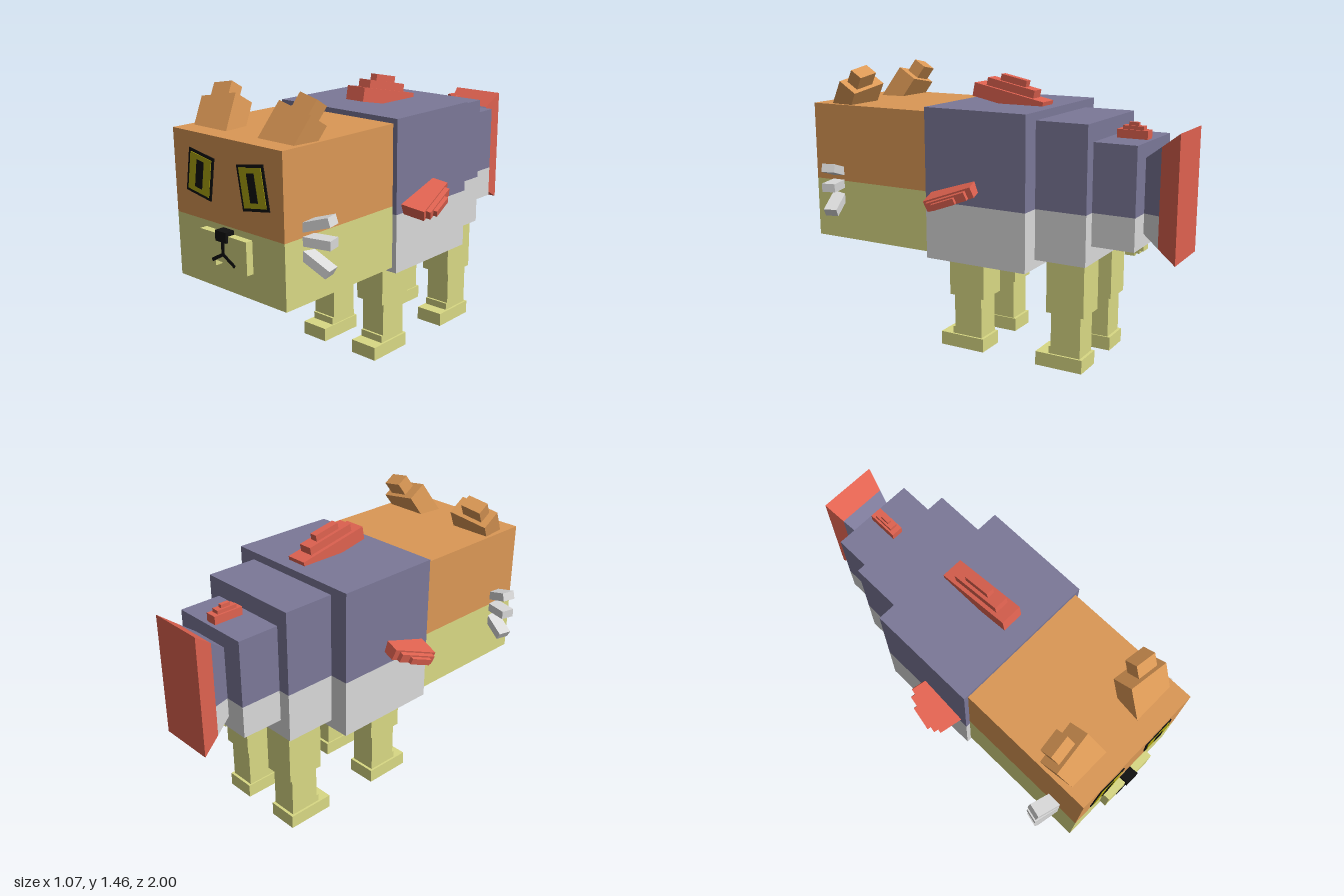
import * as THREE from 'three';

const mat = (name, color) => {
  const m = new THREE.MeshStandardMaterial({ color });
  m.name = name;
  return m;
};

export function createModel() {
  const root = new THREE.Group();
  root.name = 'catFish';
  const orange = mat('orange fur', 0xdb9855);
  const pale = mat('pale yellow', 0xd9d984);
  const purple = mat('slate purple', 0x7b7898);
  const gray = mat('light gray', 0xd9d9d9);
  const red = mat('fin red', 0xdf6250);
  const gold = mat('eye gold', 0xaea60f);
  const black = mat('black', 0x101010);

  // Box given by its min and max on each axis
  const box = (name, material, x0, x1, y0, y1, z0, z1, parent = root) => {
    const mesh = new THREE.Mesh(new THREE.BoxGeometry(x1 - x0, y1 - y0, z1 - z0), material);
    mesh.position.set((x0 + x1) / 2, (y0 + y1) / 2, (z0 + z1) / 2);
    mesh.name = name;
    parent.add(mesh);
    return mesh;
  };
  // Box mirrored to the given side of x = 0
  const sideBox = (s, name, m, x0, x1, ...rest) =>
    s > 0 ? box(name, m, x0, x1, ...rest) : box(name, m, -x1, -x0, ...rest);
  const group = (name, x, y, z, rx, ry, rz) => {
    const g = new THREE.Group();
    g.name = name;
    g.position.set(x, y, z);
    g.rotation.set(rx, ry, rz);
    root.add(g);
    return g;
  };

  // Head and three body blocks, each with a darker back and a light belly
  const blocks = [
    ['head', orange, pale, 0.36, 0.54, 0.855, 1.26, 0.23, 0.95],
    ['chest', purple, gray, 0.385, 0.515, 0.815, 1.285, -0.335, 0.23],
    ['hips', purple, gray, 0.283, 0.56, 0.815, 1.245, -0.605, -0.335],
    ['tailBase', purple, gray, 0.218, 0.65, 0.815, 1.155, -0.823, -0.605],
  ];
  for (const [name, top, low, w, y0, ym, y1, z0, z1] of blocks) {
    box(name + 'Top', top, -w, w, ym, y1, z0, z1);
    box(name + 'Belly', low, -w, w, y0, ym, z0, z1);
  }

  // Flared tail: sections are [z, half width, bottom, top]
  const prism = (name, material, front, back) => {
    const geo = new THREE.BoxGeometry(2, 1, 1);
    const p = geo.attributes.position;
    for (let i = 0; i < p.count; i++) {
      const [z, w, y0, y1] = p.getZ(i) > 0 ? front : back;
      p.setXYZ(i, Math.sign(p.getX(i)) * w, p.getY(i) > 0 ? y1 : y0, z);
    }
    geo.computeVertexNormals();
    const mesh = new THREE.Mesh(geo, material);
    mesh.name = name;
    root.add(mesh);
  };
  prism('tailTop', purple, [-0.82, 0.104, 0.815, 1.08], [-0.905, 0.126, 0.815, 1.143]);
  prism('tailBelly', gray, [-0.82, 0.104, 0.718, 0.815], [-0.905, 0.126, 0.657, 0.815]);
  prism('tailFin', red, [-0.905, 0.126, 0.657, 1.143], [-1, 0.149, 0.59, 1.215]);

  // Stepped fin on the back
  const dorsal = group('backFin', 0.031, 1.345, -0.077, -0.2, 0, 0);
  box('backFinBase', red, -0.056, 0.056, -0.07, 0, -0.2, 0.2, dorsal);
  box('backFinMiddle', red, -0.037, 0.037, 0, 0.04, -0.133, 0.14, dorsal);
  box('backFinTip', red, -0.02, 0.02, 0.04, 0.073, -0.072, 0.075, dorsal);

  // Small stepped fins above and below the tail base
  for (const [name, m, y, d] of [['tailTopFin', red, 1.155, 1], ['tailLowerFin', pale, 0.65, -1]]) {
    const g = group(name, 0.01, y, -0.725, 0, 0, d > 0 ? 0 : Math.PI);
    box(name + 'Base', m, -0.03, 0.03, -0.02, 0.042, -0.078, 0.078, g);
    box(name + 'Middle', m, -0.02, 0.02, 0.042, 0.06, -0.053, 0.053, g);
    box(name + 'Tip', m, -0.01, 0.01, 0.06, 0.077, -0.025, 0.025, g);
  }

  for (const s of [1, -1]) {
    // Legs
    for (const [name, z] of [['frontLeg', 0], ['hindLeg', -0.563]]) {
      sideBox(s, name + 'Thigh', pale, 0.084, 0.254, 0.29, 0.57, z - 0.025, z + 0.177);
      sideBox(s, name + 'Shin', pale, 0.104, 0.243, 0.07, 0.29, z - 0.005, z + 0.155);
      sideBox(s, name + 'Ankle', pale, 0.104, 0.243, 0.07, 0.11, z - 0.005, z + 0.167);
      sideBox(s, name + 'Foot', pale, 0.097, 0.254, 0, 0.072, z - 0.02, z + 0.235);
    }

    // Side fins, stepped outwards
    const fin = group('sideFin', s * 0.385, 0.875, 0.06, 0.35, s * 0.16, s * -0.25);
    sideBox(s, 'sideFinBase', red, -0.05, 0.095, -0.028, 0.028, -0.13, 0.13, fin);
    sideBox(s, 'sideFinMiddle', red, 0.095, 0.12, -0.024, 0.02, -0.1, 0.11, fin);
    sideBox(s, 'sideFinTip', red, 0.12, 0.14, -0.02, 0.012, -0.045, 0.08, fin);

    // Ears leaning back and outwards
    const ear = group('ear', s * 0.25, 1.37, 0.715, -0.56, 0, s * -0.2);
    sideBox(s, 'earBase', orange, -0.11, 0.11, -0.2, 0, -0.057, 0.057, ear);
    sideBox(s, 'earTip', orange, -0.043, 0.073, 0, 0.075, -0.036, 0.036, ear);

    // Whiskers
    for (const [y, roll] of [[0.905, 0.3], [0.838, 0], [0.765, -0.52]]) {
      const w = group('whisker', s * 0.36, y, 0.805, 0, s * 0.24, s * roll);
      sideBox(s, 'whiskerRod', gray, -0.05, 0.128, -0.022, 0.022, -0.036, 0.036, w);
    }

    // Eyes: rim, iris and pupil plates
    const eye = group('eye', s * 0.176, 1.068, 0.95, 0, 0, s * 0.165);
    box('eyeRim', black, -0.086, 0.086, -0.104, 0.104, 0, 0.005, eye);
    box('eyeIris', gold, -0.072, 0.072, -0.09, 0.09, 0, 0.0075, eye);
    box('eyePupil', black, -0.024, 0.024, -0.066, 0.066, 0, 0.0095, eye);

    // Jowls and mouth strokes
    sideBox(s, 'jowl', pale, 0.055, 0.155, 0.667, 0.694, 0.95, 0.987);
    const stroke = group('mouthStroke', 0, 0.733, 0.987, 0, 0, s * -0.5);
    sideBox(s, 'mouthLine', black, -0.004, 0.087, -0.008, 0.008, -0.001, 0.004, stroke);
  }

  // Muzzle and nose
  box('muzzle', pale, -0.155, 0.155, 0.694, 0.825, 0.95, 0.987);
  box('nose', black, -0.036, 0.036, 0.795, 0.845, 0.95, 1);
  box('noseLine', black, -0.009, 0.009, 0.73, 0.795, 0.986, 0.991);

  return root;
}
